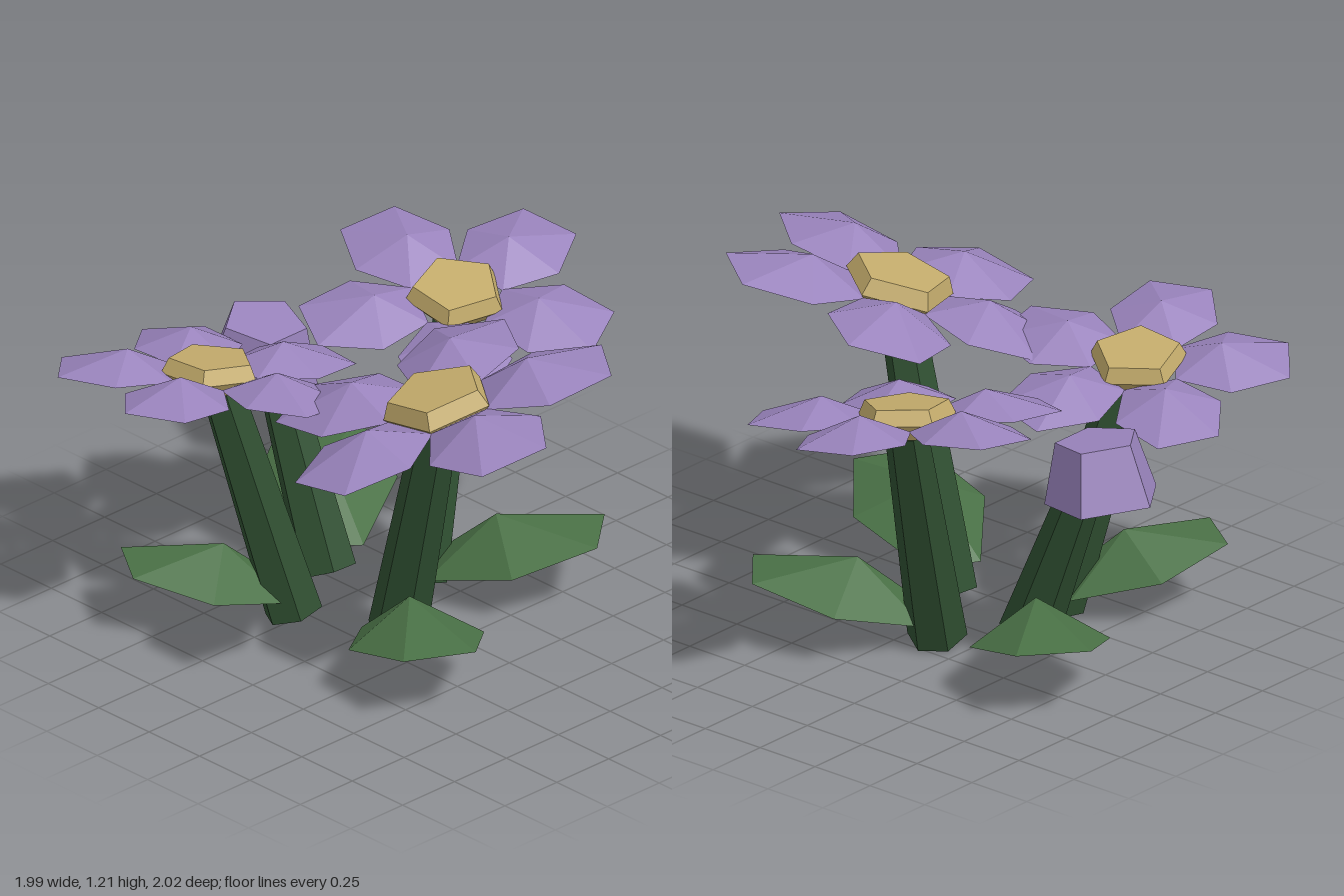
import * as THREE from 'three';

const petalMat = new THREE.MeshStandardMaterial({ color: 0x9a84bd, name: 'petalPurple' });
const centreMat = new THREE.MeshStandardMaterial({ color: 0xc4ac6c, name: 'centreGold' });
const stemMat = new THREE.MeshStandardMaterial({ color: 0x2f4f31, name: 'stemGreen' });
const leafMat = new THREE.MeshStandardMaterial({ color: 0x4a7146, name: 'leafGreen' });

const rad = THREE.MathUtils.degToRad;
const UP = new THREE.Vector3(0, 1, 0);

function mesh(name, geometry, material) {
  const m = new THREE.Mesh(geometry, material);
  m.name = name;
  return m;
}

// Split shared vertices so every facet is flat
function faceted(geometry) {
  const g = geometry.toNonIndexed();
  g.computeVertexNormals();
  return g;
}

// Six-sided blade growing along +x: flat underside, top faces meeting at a peak.
// half lists [x, half width] at base, widest point and tip.
function blade(half, peakX, peakY) {
  const ring = [
    ...half.map(([x, w]) => [x, 0, w]),
    ...half.slice().reverse().map(([x, w]) => [x, 0, -w]),
  ];
  const peak = [peakX, peakY, 0];
  const under = [peakX, 0, 0];
  const pos = [];
  ring.forEach((a, i) => {
    const b = ring[(i + 1) % ring.length];
    pos.push(...a, ...b, ...peak, ...b, ...a, ...under);
  });
  const g = new THREE.BufferGeometry();
  g.setAttribute('position', new THREE.Float32BufferAttribute(pos, 3));
  g.computeVertexNormals();
  return g;
}

const petalGeo = blade([[0.15, 0.115], [0.37, 0.225], [0.61, 0.13]], 0.34, 0.095);
const leafGeo = blade([[0.04, 0.1], [0.36, 0.235], [0.65, 0.125]], 0.32, 0.145);

// Five-sided flower centre, widest just above the petals
const centreGeo = faceted(new THREE.LatheGeometry(
  [[0, -0.05], [0.14, -0.05], [0.205, 0.015], [0.175, 0.078], [0, 0.078]].map(([r, y]) => new THREE.Vector2(r, y)), 5));

// Straight six-sided stem between two points, thicker at the foot
function stem(from, to) {
  const a = new THREE.Vector3(...from);
  const b = new THREE.Vector3(...to);
  const dir = b.clone().sub(a);
  const m = mesh('stem', faceted(new THREE.CylinderGeometry(0.077, 0.106, dir.length(), 6)), stemMat);
  m.position.copy(a).add(b).multiplyScalar(0.5);
  m.quaternion.setFromUnitVectors(UP, dir.normalize());
  return m;
}

// Leaf rising outward from its root near the foot of a stem
function leaf({ root, angle, scale }) {
  const m = mesh('leaf', leafGeo, leafMat);
  m.position.set(root[0], 0.08, root[1]);
  m.rotation.set(0, -rad(angle), 0.28);
  m.scale.setScalar(scale);
  return m;
}

// Bloom of five petals; slopeX and slopeZ tilt its plane
function bloom({ at, slopeX, slopeZ, angle, scale }) {
  const g = new THREE.Group();
  g.name = 'bloom';
  for (let i = 0; i < 5; i++) {
    const p = mesh('petal', petalGeo, petalMat);
    p.rotation.y = -rad(angle + i * 72);
    g.add(p);
  }
  const c = mesh('flowerCentre', centreGeo, centreMat);
  c.rotation.y = Math.PI;
  g.add(c);
  g.position.set(...at);
  g.scale.setScalar(scale);
  g.quaternion.setFromUnitVectors(UP, new THREE.Vector3(-slopeX, 1, -slopeZ).normalize());
  return g;
}

const plants = [
  { name: 'tallFlower', foot: [0.09, 0.03, 0.14], top: [0.37, 1.02, 0.21],
    leaf: { root: [0.09, 0.19], angle: 28, scale: 1.04 },
    bloom: { at: [0.4, 1.045, 0.235], slopeX: 0.18, slopeZ: -0.17, angle: 90, scale: 0.98 } },
  { name: 'backFlower', foot: [-0.13, 0.036, -0.17], top: [-0.235, 0.94, -0.46],
    leaf: { root: [-0.11, -0.15], angle: -40, scale: 1.02 },
    bloom: { at: [-0.245, 0.97, -0.47], slopeX: -0.15, slopeZ: -0.13, angle: -99, scale: 0.88 } },
  { name: 'frontFlower', foot: [-0.26, 0.03, 0.3], top: [-0.45, 0.9, 0.47],
    leaf: { root: [-0.28, 0.27], angle: 124, scale: 0.95 },
    bloom: { at: [-0.48, 0.93, 0.485], slopeX: 0.09, slopeZ: 0.14, angle: -6, scale: 0.86 } },
  { name: 'budFlower', foot: [-0.38, 0.043, 0.02], top: [-0.635, 0.65, 0],
    leaf: { root: [-0.39, -0.02], angle: 220, scale: 1.05 } },
];

export function createModel() {
  const model = new THREE.Group();
  model.name = 'flowers';
  for (const p of plants) {
    const g = new THREE.Group();
    g.name = p.name;
    g.add(stem(p.foot, p.top), leaf(p.leaf));
    if (p.bloom) g.add(bloom(p.bloom));
    model.add(g);
  }

  // Closed bud, drooping outward from its stem
  const bud = mesh('bud', faceted(new THREE.CylinderGeometry(0.15, 0.21, 0.22, 5)), petalMat);
  bud.position.set(-0.73, 0.77, 0);
  bud.rotation.set(0, rad(-18), -0.14, 'ZYX');
  model.getObjectByName('budFlower').add(bud);
  return model;
}
